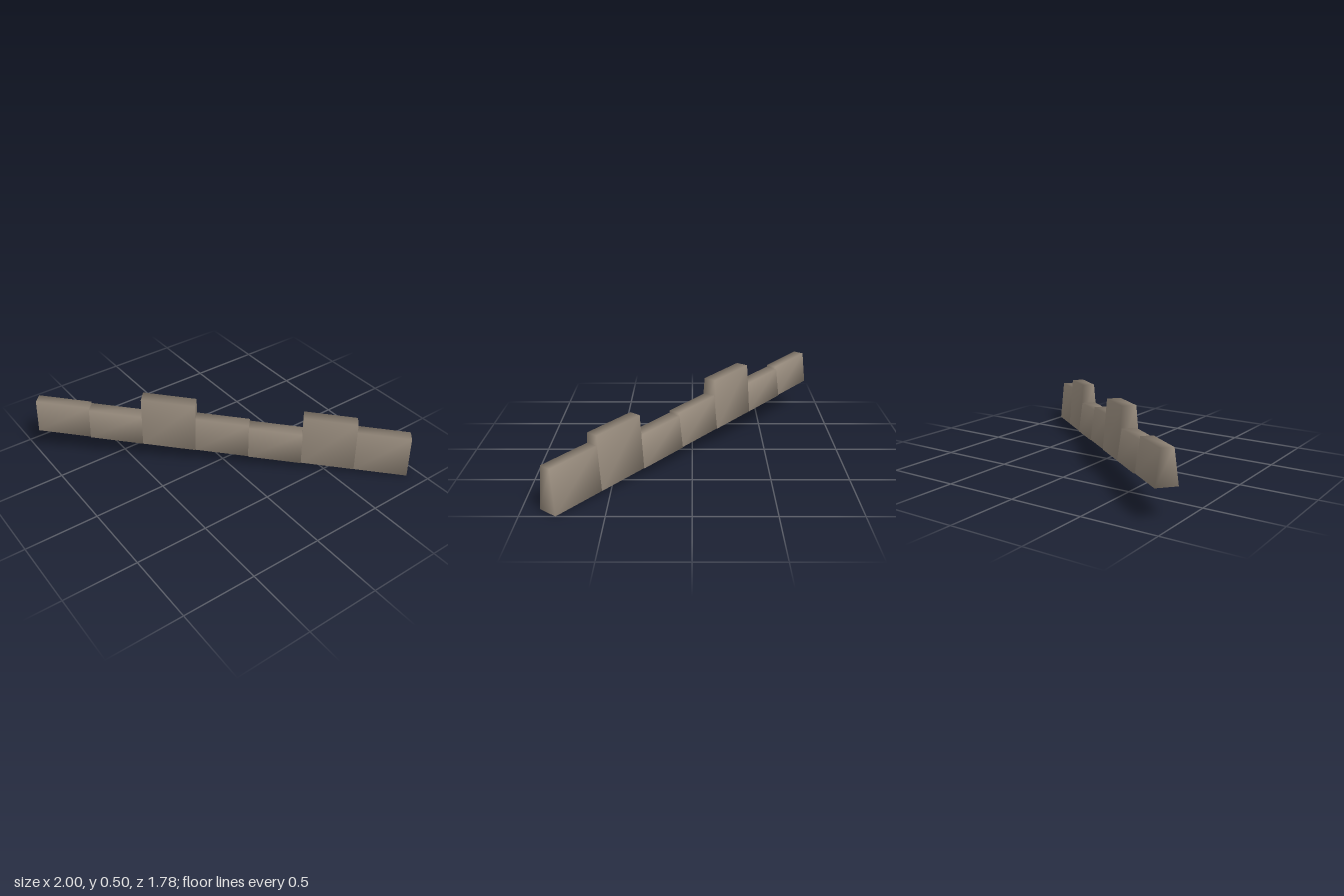
import * as THREE from 'three';
import { mergeVertices } from 'three/addons/utils/BufferGeometryUtils.js';

const LENGTH = 2.54;   // along the run of blocks
const DROP = 0.212;    // fall of the base from end to end
const TAPER = 0.029;   // inset of each long side at the top

// height and base width of each block, from the high end to the low end
const BLOCKS = [
  [0.22, 0.137], [0.203, 0.152], [0.345, 0.15], [0.236, 0.142],
  [0.218, 0.152], [0.353, 0.142], [0.288, 0.14],
];

// Box with upright ends, tapered long sides, sheared to the slope, softly shaded
function blockGeometry(start, length, height, width) {
  let g = new THREE.BoxGeometry(length, height, width);
  g.deleteAttribute('normal');
  g.deleteAttribute('uv');
  g = mergeVertices(g);
  const p = g.attributes.position;
  for (let i = 0; i < p.count; i++) {
    const x = p.getX(i) + start + length / 2;
    const top = p.getY(i) > 0;
    const z = Math.sign(p.getZ(i)) * (width / 2 - (top ? TAPER : 0));
    const base = DROP * (0.5 - x / LENGTH);
    p.setXYZ(i, x, base + (top ? height : 0), z);
  }
  g.computeVertexNormals();
  return g;
}

export function createModel() {
  const model = new THREE.Group();
  model.name = 'stoneWall';
  const stone = new THREE.MeshStandardMaterial({ color: 0x968a7c });
  stone.name = 'stone';

  // Row of stones laid end to end on a falling line
  const step = LENGTH / BLOCKS.length;
  const row = new THREE.Group();
  row.name = 'stoneRow';
  BLOCKS.forEach(([height, width], i) => {
    const mesh = new THREE.Mesh(blockGeometry(-LENGTH / 2 + i * step, step, height, width), stone);
    mesh.name = 'stoneBlock' + (i + 1);
    row.add(mesh);
  });
  row.rotation.y = -Math.atan2(0.84, 0.954);
  model.add(row);
  return model;
}
